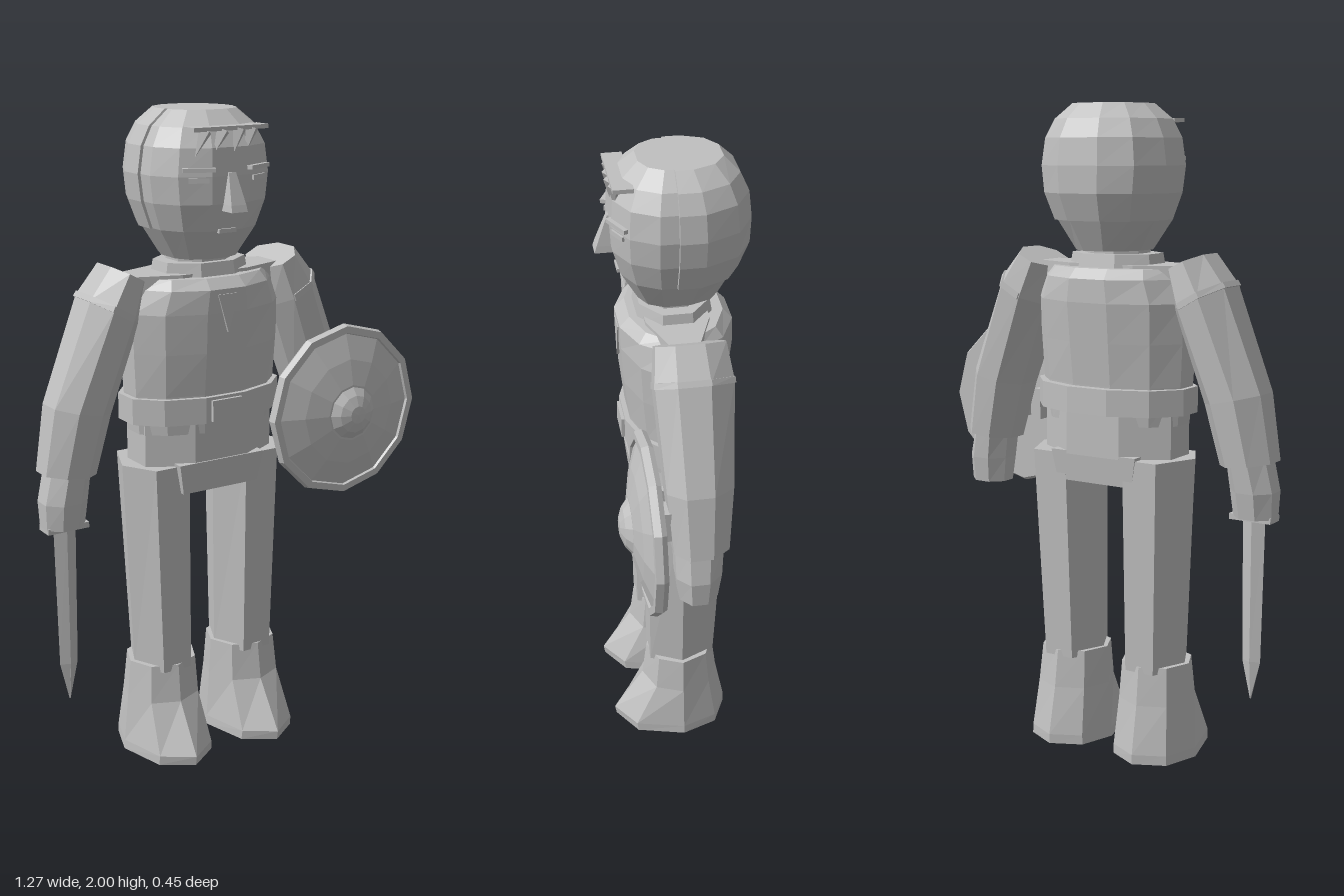
import * as THREE from 'three';

const grey = new THREE.MeshStandardMaterial({ color: 0xc0c0c0, flatShading: true });
grey.name = 'plain grey';

// Closed loft. Each ring: [x0, y0, x1, y1, zBack, zFront], listed bottom to top.
function loft(name, rings, sides = 8, phase = Math.PI / sides, power = 1) {
  const angles = Array.from({ length: sides }, (_, i) => phase + (i / sides) * Math.PI * 2);
  const maxC = Math.max(...angles.map((a) => Math.abs(Math.cos(a))));
  const maxS = Math.max(...angles.map((a) => Math.abs(Math.sin(a))));
  const shape = (v) => Math.sign(v) * Math.pow(Math.abs(v), power);
  const rows = rings.map(([x0, y0, x1, y1, zb, zf]) => angles.map((a) => {
    const c = shape(Math.cos(a) / maxC), s = shape(Math.sin(a) / maxS);
    return new THREE.Vector3((x0 + x1) / 2 + c * (x1 - x0) / 2,
      (y0 + y1) / 2 + c * (y1 - y0) / 2, s > 0 ? s * zf : -s * zb);
  }));
  const centre = (row) => row.reduce((m, p) => m.add(p), new THREE.Vector3()).divideScalar(sides);
  const top = rows[rows.length - 1], base = rows[0], pts = [];
  const cb = centre(base), ct = centre(top);
  for (let i = 0; i < sides; i++) {
    const j = (i + 1) % sides;
    for (let r = 0; r < rows.length - 1; r++) {
      const a = rows[r], b = rows[r + 1];
      pts.push(a[i], b[i], a[j], a[j], b[i], b[j]);
    }
    pts.push(cb, base[i], base[j], ct, top[j], top[i]);
  }
  const g = new THREE.BufferGeometry().setFromPoints(pts);
  g.computeVertexNormals();
  return part(name, g);
}

function part(name, geometry, x = 0, y = 0, z = 0) {
  const m = new THREE.Mesh(geometry, grey);
  m.name = name;
  m.position.set(x, y, z);
  return m;
}

const box = (name, w, h, d, x, y, z) => part(name, new THREE.BoxGeometry(w, h, d), x, y, z);
// Symmetric ring about x = 0
const ring = (y, half, zb, zf) => [-half, y, half, y, zb, zf];
// Mirror a ring to the other side of the body
const flip = ([x0, y0, x1, y1, zb, zf]) => [-x1, y1, -x0, y0, zb, zf];

export function createModel() {
  const model = new THREE.Group();
  model.name = 'warrior';
  const body = new THREE.Group();
  body.name = 'body';
  body.position.x = -0.09;
  model.add(body);

  // Torso, belt and hips
  body.add(
    loft('torso', [ring(1.05, 0.235, -0.14, 0.13), ring(1.17, 0.245, -0.15, 0.135),
      ring(1.3, 0.252, -0.165, 0.15), ring(1.42, 0.257, -0.178, 0.158),
      ring(1.49, 0.228, -0.178, 0.16), ring(1.52, 0.21, -0.15, 0.13)], 12),
    loft('shoulderYoke', [ring(1.44, 0.27, -0.1, 0.09), ring(1.53, 0.27, -0.1, 0.09)]),
    loft('belt', [ring(1.085, 0.26, -0.178, 0.15), ring(1.165, 0.26, -0.178, 0.15)], 12),
    box('buckle', 0.105, 0.065, 0.02, 0, 1.123, 0.15),
    loft('hips', [ring(0.95, 0.225, -0.145, 0.125), ring(1.09, 0.225, -0.145, 0.125)]),
    loft('crotch', [ring(0.865, 0.133, -0.135, 0.12), ring(0.96, 0.15, -0.145, 0.13)], 4),
    loft('collar', [ring(1.5, 0.145, -0.12, 0.11), ring(1.56, 0.135, -0.11, 0.1)]),
    loft('neck', [ring(1.5, 0.095, -0.09, 0.08), ring(1.62, 0.095, -0.09, 0.08)]),
  );
  const notch = new THREE.Shape([[-0.035, 1.475], [0, 1.36], [0.035, 1.475]]
    .map(([x, y]) => new THREE.Vector2(x, y)));
  body.add(part('neckNotch', new THREE.ExtrudeGeometry(notch, { depth: 0.008, bevelEnabled: false }), 0, 0, 0.155));

  // Head with a slightly larger shell of hair behind
  const head = new THREE.Group();
  head.name = 'head';
  body.add(head);
  const skull = [[1.57, 0.105, -0.14, 0.1], [1.66, 0.162, -0.185, 0.15], [1.74, 0.19, -0.215, 0.174],
    [1.82, 0.2, -0.218, 0.178], [1.9, 0.188, -0.21, 0.172], [1.955, 0.16, -0.185, 0.145], [2, 0.108, -0.14, 0.095]];
  head.add(
    loft('face', skull.map((r) => ring(...r)), 12, Math.PI / 12, 0.85),
    loft('hair', skull.slice(1).map(([y, h, zb]) => ring(y, h + 0.009, zb - 0.008, 0.01)), 12, Math.PI / 12, 0.85),
    loft('nose', [ring(1.72, 0.027, -0.01, 0.222), ring(1.74, 0.025, -0.01, 0.216), ring(1.83, 0.012, -0.01, 0.182)], 4),
    box('mouth', 0.06, 0.012, 0.03, 0, 1.66, 0.144),
    box('fringe', 0.25, 0.012, 0.06, 0, 1.953, 0.148),
  );
  for (const x of [-0.095, -0.04, 0.02, 0.065]) {
    const tuft = part('fringeTuft', new THREE.ConeGeometry(0.022, 0.08, 4), x, 1.912, 0.172 - Math.abs(x) * 0.12);
    tuft.rotation.set(Math.PI, 0, x < 0 ? 0.45 : 0.3);
    head.add(tuft);
  }
  for (const s of [-1, 1]) {
    const brow = box('brow', 0.095, 0.012, 0.022, s * 0.1, 1.84, 0.162);
    const eye = box('eye', 0.06, 0.014, 0.012, s * 0.1, 1.81, 0.162);
    brow.rotation.y = eye.rotation.y = s * 0.44;
    head.add(brow, eye);
  }

  // Limbs, made once for the right side and flipped for the left
  const limbs = [
    ['arm', 8, [[-0.545, 0.97, -0.38, 0.95, -0.095, 0.07], [-0.512, 1.17, -0.33, 1.13, -0.112, 0.085],
      [-0.39, 1.48, -0.235, 1.39, -0.13, 0.1], [-0.32, 1.567, -0.21, 1.51, -0.115, 0.09]]],
    ['shoulderStrap', 8, [[-0.398, 1.476, -0.24, 1.385, -0.133, 0.103], [-0.388, 1.491, -0.235, 1.405, -0.132, 0.102]]],
    ['hand', 8, [[-0.545, 0.8, -0.42, 0.8, -0.06, 0.055], [-0.548, 0.88, -0.41, 0.88, -0.072, 0.065],
      [-0.525, 0.98, -0.398, 0.965, -0.08, 0.066]]],
    ['leg', 6, [[-0.247, 0.28, -0.05, 0.28, -0.11, 0.1], [-0.277, 0.95, -0.045, 0.95, -0.14, 0.105]], 0],
    ['boot', 8, [[-0.29, 0, -0.018, 0, -0.16, 0.215], [-0.288, 0.03, -0.02, 0.03, -0.16, 0.22],
      [-0.273, 0.18, -0.03, 0.18, -0.13, 0.122], [-0.262, 0.3, -0.037, 0.3, -0.115, 0.107]], 0],
  ];
  for (const [name, sides, rings, phase] of limbs) {
    body.add(loft(name + 'Right', rings, sides, phase));
    body.add(loft(name + 'Left', rings.map(flip), sides, phase));
  }

  // Sword held in the right hand
  const sword = new THREE.Group();
  sword.name = 'sword';
  sword.position.x = -0.567;
  sword.add(
    loft('blade', [ring(0.23, 0.002, -0.002, 0.002), ring(0.35, 0.03, -0.013, 0.013),
      ring(0.8, 0.037, -0.017, 0.017)], 4, 0),
    box('guard', 0.135, 0.018, 0.06, 0, 0.797, 0),
  );
  model.add(sword);

  // Round shield on the left arm
  const shield = new THREE.Group();
  shield.name = 'shield';
  shield.position.set(0.355, 1.05, 0);
  const turned = (name, profile) => {
    const g = new THREE.LatheGeometry(profile.map(([r, z]) => new THREE.Vector2(r, z)), 12);
    return part(name, g.rotateX(Math.PI / 2));
  };
  shield.add(
    turned('shieldDisc', [[0, 0.12], [0.268, 0.12], [0.277, 0.135], [0.272, 0.157], [0.25, 0.158],
      [0.247, 0.15], [0.17, 0.176], [0.09, 0.193], [0, 0.196]]),
    turned('shieldBoss', [[0, 0.18], [0.088, 0.19], [0.06, 0.212], [0.028, 0.224], [0, 0.226]]),
    box('shieldStrap', 0.025, 0.1, 0.06, -0.095, 0, 0.095),
    box('shieldGrip', 0.065, 0.1, 0.06, 0, 0, 0.095),
  );
  model.add(shield);
  return model;
}
